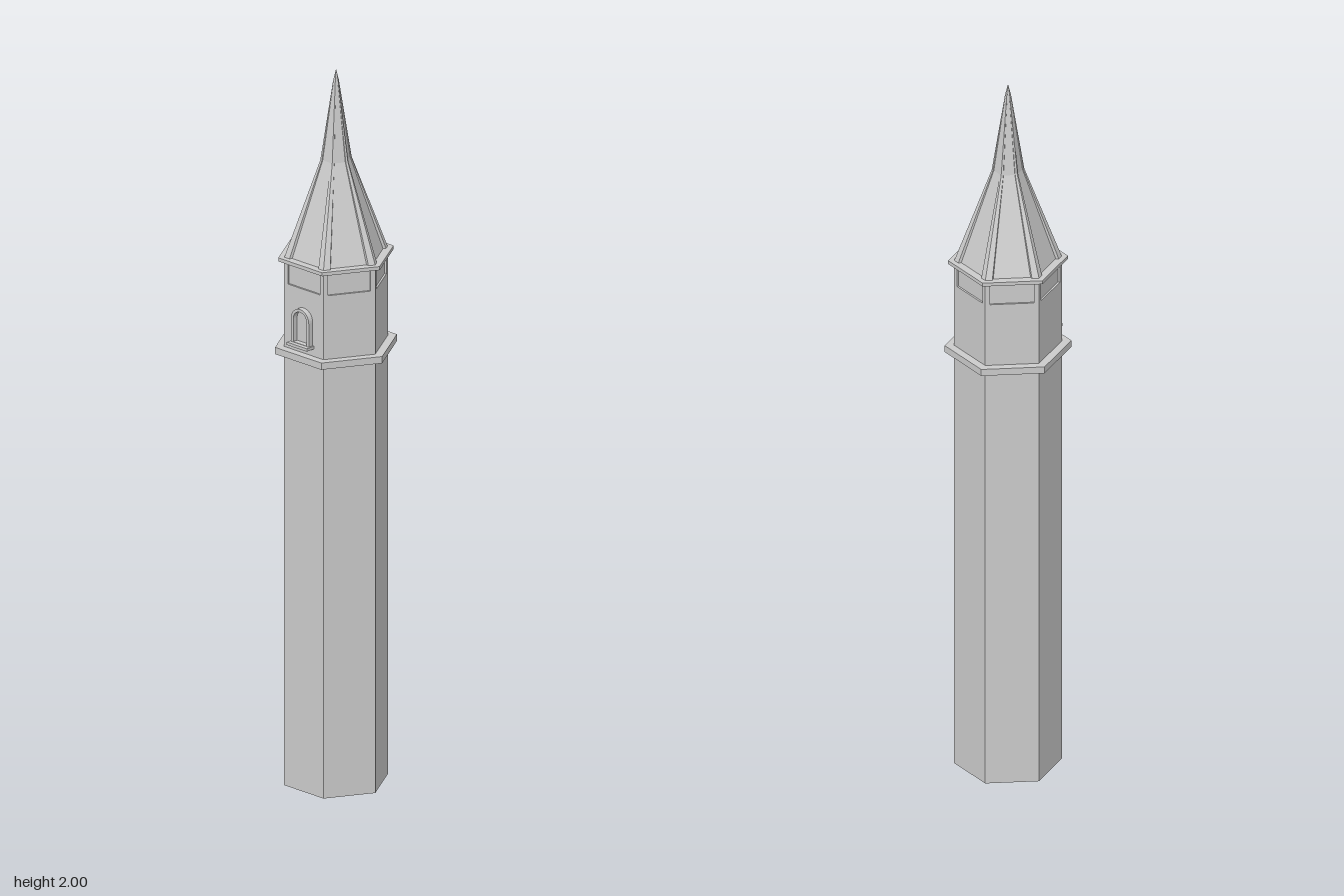
import * as THREE from 'three';

const SIDES = 6;
const R = 0.142;                       // tower corner radius
const APOTHEM = R * Math.cos(Math.PI / SIDES);
const stone = new THREE.MeshStandardMaterial({ color: 0xcccccc, flatShading: true });

function add(parent, name, geometry) {
  const mesh = new THREE.Mesh(geometry, stone);
  mesh.name = name;
  parent.add(mesh);
  return mesh;
}

// Hexagonal prism with corners on the x axis, between two heights
function hexPrism(radius, y0, y1) {
  return new THREE.CylinderGeometry(radius, radius, y1 - y0, SIDES, 1, false, Math.PI / 6)
    .translate(0, (y0 + y1) / 2, 0);
}

// Outline of an arched opening
function arch(target, halfWidth, y0, ySpring) {
  target.moveTo(-halfWidth, y0);
  target.lineTo(halfWidth, y0);
  target.lineTo(halfWidth, ySpring);
  target.absarc(0, ySpring, halfWidth, 0, Math.PI, false);
  target.lineTo(-halfWidth, y0);
  return target;
}

function rectangle(target, halfWidth, y0, y1) {
  target.moveTo(-halfWidth, y0);
  target.lineTo(halfWidth, y0);
  target.lineTo(halfWidth, y1);
  target.lineTo(-halfWidth, y1);
  target.closePath();
  return target;
}

// Six-sided spire with raised ribs along its corners, lofted through rings
function spireGeometry() {
  const levels = [[1.486, R], [1.75, 0.043], [1.97, 0.008], [2, 0.0005]];
  const corner = (i) => new THREE.Vector2(Math.cos(i * Math.PI / 3), Math.sin(i * Math.PI / 3));
  const section = [];
  for (let i = 0; i < SIDES; i++) {
    const before = corner(i).lerp(corner(i - 1), 0.13);
    const after = corner(i).lerp(corner(i + 1), 0.13);
    section.push(before.clone().multiplyScalar(0.94), before, corner(i),
      after, after.clone().multiplyScalar(0.94));
  }
  const n = section.length;
  const positions = [];
  const index = [];
  levels.forEach(([y, r], l) => {
    for (const p of section) positions.push(p.x * r, y, p.y * r);
    if (l === 0) return;
    for (let i = 0; i < n; i++) {
      const a = (l - 1) * n + i, b = (l - 1) * n + (i + 1) % n;
      index.push(a, a + n, b, b, a + n, b + n);
    }
  });
  const geometry = new THREE.BufferGeometry();
  geometry.setAttribute('position', new THREE.Float32BufferAttribute(positions, 3));
  geometry.setIndex(index);
  const flat = geometry.toNonIndexed();
  flat.computeVertexNormals();
  return flat;
}

export function createModel() {
  const model = new THREE.Group();
  model.name = 'tower';
  const tower = new THREE.Group();
  tower.name = 'towerBody';
  tower.position.z = -0.004;
  model.add(tower);

  // Shaft and the ledge around it
  add(tower, 'shaft', hexPrism(R, 0, 1.4));
  add(tower, 'ledge', hexPrism(0.167, 1.217, 1.236));

  // Frieze with one sunken rectangular panel on each face
  add(tower, 'friezeCore', hexPrism(R - 0.006, 1.4, 1.48));
  const frame = rectangle(new THREE.Shape(), R / 2, 1.4, 1.48);
  frame.holes.push(rectangle(new THREE.Path(), 0.058, 1.415, 1.474));
  const frameGeometry = new THREE.ExtrudeGeometry(frame, { depth: 0.006, bevelEnabled: false })
    .translate(0, 0, APOTHEM - 0.006);
  for (let i = 0; i < SIDES; i++) {
    add(tower, 'friezeFrame', frameGeometry).rotation.y = i * Math.PI / 3;
  }

  // Cornice and ribbed spire
  add(tower, 'cornice', hexPrism(0.158, 1.477, 1.487));
  add(tower, 'spire', spireGeometry());

  // Arched window on the front face
  const windowGroup = new THREE.Group();
  windowGroup.name = 'window';
  windowGroup.position.z = APOTHEM;
  tower.add(windowGroup);
  const surround = arch(new THREE.Shape(), 0.032, 1.262, 1.331);
  surround.holes.push(arch(new THREE.Path(), 0.024, 1.266, 1.331));
  add(windowGroup, 'windowSurround',
    new THREE.ExtrudeGeometry(surround, { depth: 0.015, bevelEnabled: false, curveSegments: 8 }));
  add(windowGroup, 'windowSill', new THREE.BoxGeometry(0.073, 0.008, 0.028).translate(0, 1.261, 0.013));

  return model;
}
